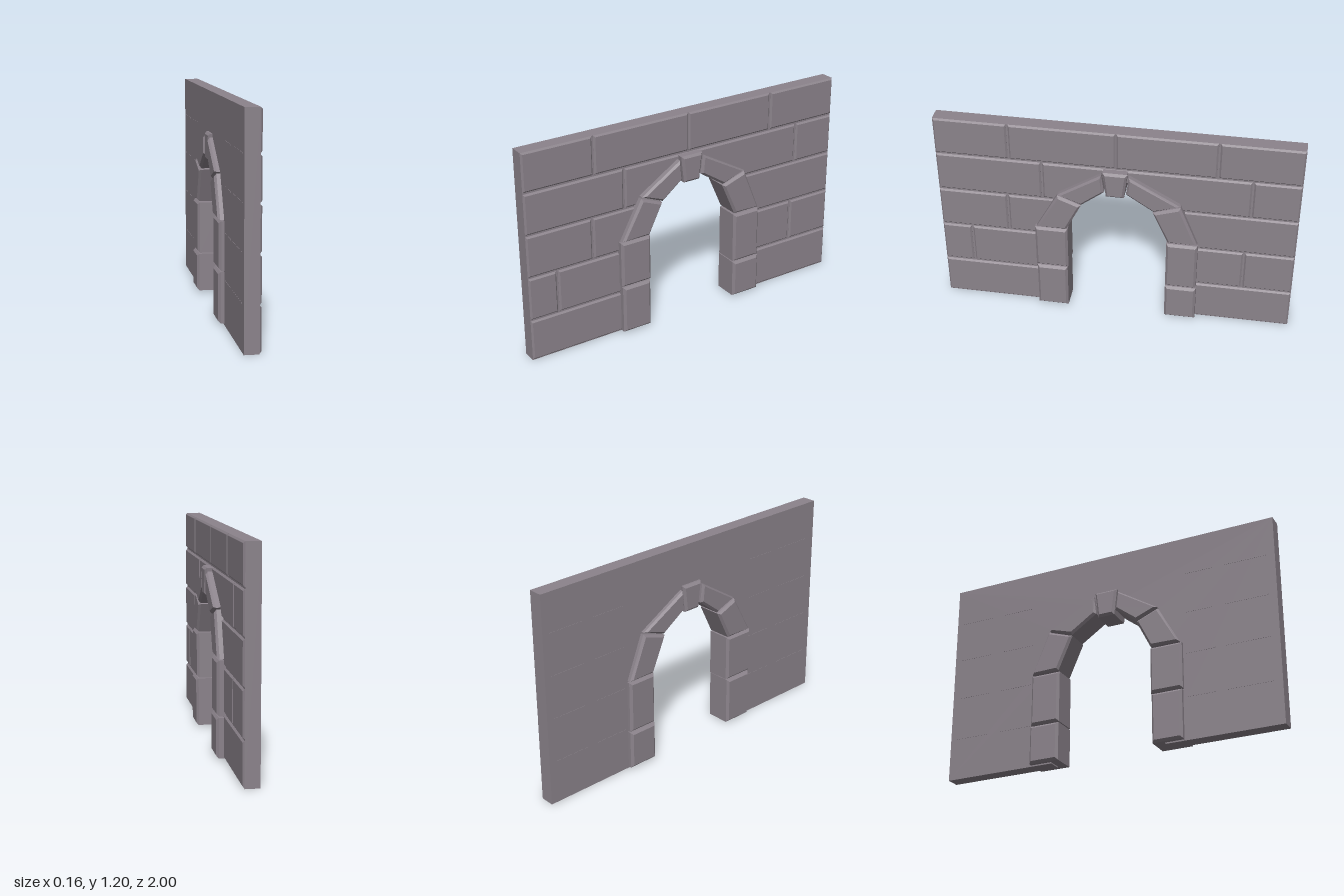
import * as THREE from 'three';

const stone = new THREE.MeshStandardMaterial({ color: 0x8b838b, flatShading: true });
stone.name = 'grey stone';

// Extrudes an outline given as [u, y] (u = -z) from x0 to x1, with chamfered edges
function slab(name, points, x0, x1, bevel = 0) {
  const shape = new THREE.Shape(points.map(([u, y]) => new THREE.Vector2(u, y)));
  const geometry = new THREE.ExtrudeGeometry(shape, {
    depth: x1 - x0 - 2 * bevel,
    bevelEnabled: bevel > 0,
    bevelThickness: bevel,
    bevelSize: bevel,
    bevelOffset: -bevel,
    bevelSegments: 1,
  });
  geometry.translate(0, 0, x0 + bevel);
  geometry.rotateY(Math.PI / 2);
  const mesh = new THREE.Mesh(geometry, stone);
  mesh.name = name;
  return mesh;
}

const rect = (u0, u1, y0, y1) => [[u0, y0], [u1, y0], [u1, y1], [u0, y1]];

export function createModel() {
  const model = new THREE.Group();
  model.name = 'archedWall';

  // Flat wall core with the doorway cut out
  model.add(slab('wallCore', [
    [-1, 0], [-0.34, 0], [-0.34, 0.56], [-0.25, 0.76], [-0.07, 0.9],
    [0.07, 0.9], [0.26, 0.76], [0.36, 0.55], [0.34, 0], [1, 0], [1, 1.204], [-1, 1.204],
  ], -0.048, 0.031));

  // Raised bricks on the right face, running in under the arch stones
  const bricks = new THREE.Group();
  bricks.name = 'wallBricks';
  const outlines = [
    rect(-1, -0.36, 0.005, 0.24), rect(0.36, 1, 0.005, 0.24),
    rect(-1, -0.835, 0.25, 0.493), rect(-0.825, -0.36, 0.25, 0.493),
    rect(0.36, 0.715, 0.25, 0.493), rect(0.725, 1, 0.25, 0.493),
    rect(-1, -0.615, 0.503, 0.738),
    [[-0.605, 0.503], [-0.36, 0.503], [-0.36, 0.56], [-0.28, 0.738], [-0.605, 0.738]],
    [[0.37, 0.503], [1, 0.503], [1, 0.738], [0.29, 0.738], [0.37, 0.56]],
    rect(-1, -0.415, 0.748, 0.977),
    [[-0.405, 0.748], [-0.27, 0.748], [-0.1, 0.89], [-0.003, 0.9], [-0.003, 0.977], [-0.405, 0.977]],
    [[0.003, 0.9], [0.1, 0.89], [0.28, 0.748], [0.735, 0.748], [0.735, 0.977], [0.003, 0.977]],
    rect(0.745, 1, 0.748, 0.977),
    rect(-1, -0.595, 0.987, 1.204), rect(-0.585, -0.003, 0.987, 1.204),
    rect(0.003, 0.545, 0.987, 1.204), rect(0.555, 1, 0.987, 1.204),
  ];
  outlines.forEach((p) => bricks.add(slab('brick', p, 0.018, 0.041, 0.009)));
  model.add(bricks);

  // Faint broken course lines on the left face
  const lines = new THREE.Group();
  lines.name = 'courseLines';
  for (const y of [0.245, 0.498, 0.743, 0.982]) {
    for (const [u0, u1] of [[-0.95, -0.7], [-0.64, -0.47], [0.48, 0.68], [0.75, 0.96]]) {
      lines.add(slab('courseLine', rect(u0, u1, y - 0.003, y + 0.003), -0.0495, -0.047));
    }
  }
  model.add(lines);

  // Chamfered stones around the doorway
  const arch = new THREE.Group();
  arch.name = 'archStones';
  const stones = [
    ['leftBaseStone', rect(-0.45, -0.275, 0.008, 0.287), -0.08, 0.08],
    ['leftPostStone', rect(-0.455, -0.27, 0.293, 0.56), -0.077, 0.077],
    ['leftShoulderStone', [[-0.445, 0.565], [-0.275, 0.565], [-0.19, 0.738], [-0.322, 0.792]], -0.082, 0.078],
    ['leftUpperStone', [[-0.318, 0.8], [-0.188, 0.745], [-0.06, 0.845], [-0.075, 0.955]], -0.078, 0.08],
    ['keystone', [[-0.05, 0.82], [0.05, 0.82], [0.068, 0.975], [-0.068, 0.975]], -0.072, 0.082],
    ['rightUpperStone', [[0.06, 0.845], [0.212, 0.745], [0.355, 0.796], [0.075, 0.955]], -0.078, 0.08],
    ['rightShoulderStone', [[0.295, 0.54], [0.46, 0.54], [0.36, 0.788], [0.208, 0.737]], -0.08, 0.078],
    ['rightPostStone', rect(0.288, 0.463, 0.234, 0.533), -0.077, 0.08],
    ['rightBaseStone', rect(0.288, 0.465, 0.008, 0.228), -0.08, 0.082],
  ];
  stones.forEach(([name, p, x0, x1]) => arch.add(slab(name, p, x0, x1, 0.013)));
  model.add(arch);

  return model;
}
